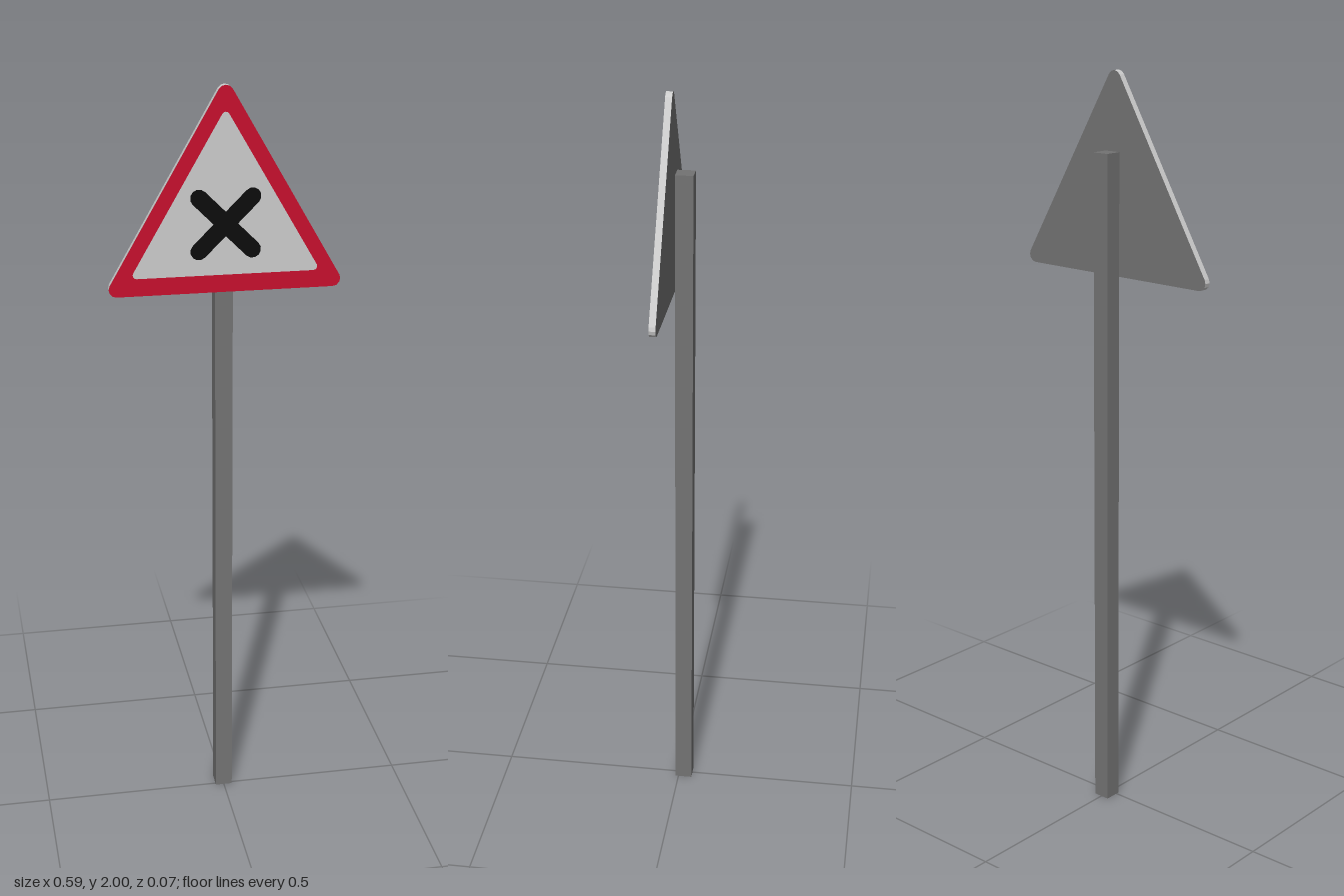
import * as THREE from 'three';

const mat = (name, color, side = THREE.FrontSide) => {
  const m = new THREE.MeshStandardMaterial({ color, side });
  m.name = name;
  return m;
};

// Outline wrapped around circles of radius r at the given centres (counter-clockwise)
function roundedOutline(centres, r, steps = 4) {
  const points = [];
  const n = centres.length;
  centres.forEach(([x, y], i) => {
    const [px, py] = centres[(i + n - 1) % n];
    const [nx, ny] = centres[(i + 1) % n];
    const start = Math.atan2(y - py, x - px) - Math.PI / 2;
    let turn = Math.atan2(ny - y, nx - x) - Math.PI / 2 - start;
    while (turn <= 0) turn += Math.PI * 2;
    for (let k = 0; k <= steps; k++) {
      const a = start + (turn * k) / steps;
      points.push(new THREE.Vector2(x + r * Math.cos(a), y + r * Math.sin(a)));
    }
  });
  return points;
}

// Rounded upright triangle from its outer extents
function triangle(top, bottom, halfWidth, r) {
  return roundedOutline([[0, top - r], [-halfWidth + r, bottom + r], [halfWidth - r, bottom + r]], r);
}

export function createModel() {
  const group = new THREE.Group();
  const grey = mat('metalGrey', 0x737373);
  const white = mat('signWhite', 0xcccccc);
  const red = mat('borderRed', 0xc8102e);
  const black = mat('crossBlack', 0x0c0c0c);

  const add = (name, geometry, material, x = 0, y = 0, z = 0) => {
    const mesh = new THREE.Mesh(geometry, material);
    mesh.name = name;
    mesh.position.set(x, y, z);
    group.add(mesh);
    return mesh;
  };

  // Square post
  add('post', new THREE.BoxGeometry(0.046, 1.8, 0.046), grey, 0, 0.9, -0.015);

  // Panel: grey back, pale rim
  const outer = triangle(2, 1.48, 0.297, 0.02);
  const inner = triangle(1.935, 1.525, 0.236, 0.01);
  add('signPanel', new THREE.ExtrudeGeometry(new THREE.Shape(outer), { depth: 0.017, bevelEnabled: false }),
    [grey, white], 0, 0, 0.015);

  // Painted face: red border around a white field
  const border = new THREE.Shape(outer);
  border.holes.push(new THREE.Path(inner));
  add('redBorder', new THREE.ShapeGeometry(border), red, 0, 0, 0.033);
  add('whiteField', new THREE.ShapeGeometry(new THREE.Shape(inner)), white, 0, 0, 0.033);

  // Diagonal cross with rounded ends
  const bar = new THREE.Shape(roundedOutline([[-0.096, 0], [0.096, 0]], 0.022, 6));
  [-1, 1].forEach((s) => {
    const arm = add(s < 0 ? 'crossBarDown' : 'crossBarUp', new THREE.ShapeGeometry(bar), black,
      0, 1.656, s < 0 ? 0.034 : 0.0342);
    arm.rotation.z = (s * Math.PI) / 4;
  });

  return group;
}
